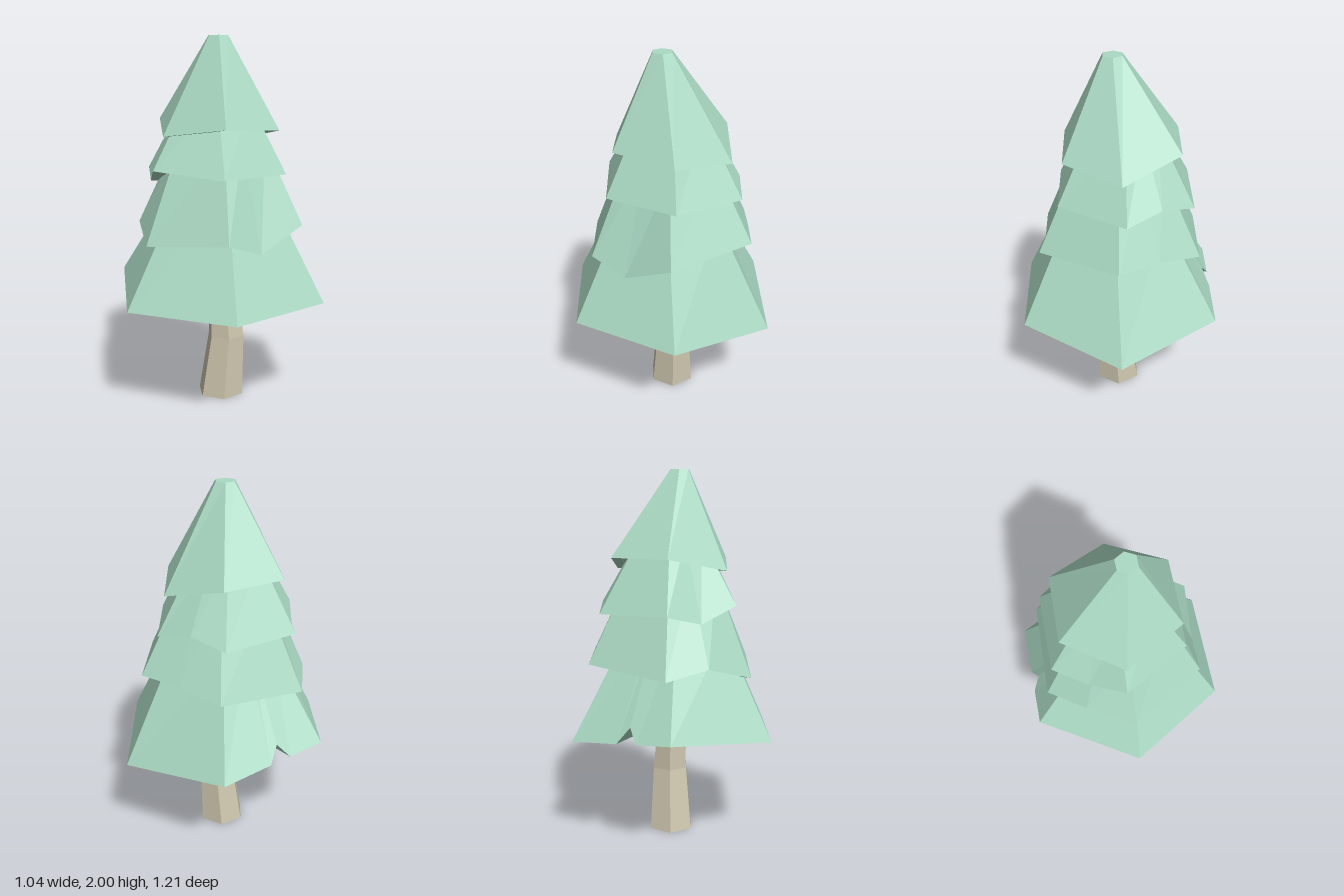
import * as THREE from 'three';

const foliage = new THREE.MeshStandardMaterial({ color: 0xabdac4, flatShading: true });
const bark = new THREE.MeshStandardMaterial({ color: 0xcfc8b0, flatShading: true });

// Skin a stack of rings (same point count, counter-clockwise from above) with flat faces.
function loft(rings, material, name) {
  const pos = [];
  const tri = (a, b, c) => {
    if (new THREE.Triangle(a, b, c).getArea() < 1e-7) return;
    for (const p of [a, b, c]) pos.push(p.x, p.y, p.z);
  };
  for (let r = 0; r + 1 < rings.length; r++) {
    const a = rings[r], b = rings[r + 1], n = a.length;
    for (let i = 0; i < n; i++) {
      const j = (i + 1) % n;
      tri(a[i], a[j], b[j]);
      tri(a[i], b[j], b[i]);
    }
  }
  const geo = new THREE.BufferGeometry();
  geo.setAttribute('position', new THREE.Float32BufferAttribute(pos, 3));
  geo.computeVertexNormals();
  const mesh = new THREE.Mesh(geo, material);
  mesh.name = name;
  return mesh;
}

// Point on a hexagon (corners at +z and -z) in the direction of angle a.
function hexPoint(a, radius, y, [cx, cz]) {
  const side = Math.PI / 3;
  const local = ((a % side) + side) % side - side / 2;
  const r = radius * Math.cos(side / 2) / Math.cos(local);
  return new THREE.Vector3(cx + r * Math.sin(a), y, cz + r * Math.cos(a));
}

// One skirt of branches: hollow underside, jagged rim, sloping hexagonal sides, flat top.
function tier({ name, rim, inner, topR, topY, center }) {
  const outer = rim.map(p => new THREE.Vector3(...p));
  const angles = outer.map(p => Math.atan2(p.x, p.z));
  const capY = Math.max(...outer.map(p => p.y)) + 0.02;
  const ring = (radius, y, c) => angles.map((a, i) => hexPoint(a, radius, y ?? outer[i].y, c));
  return loft([
    ring(0, capY, [0, 0]),
    ring(inner, capY, [0, 0]),
    ring(inner, null, [0, 0]),
    outer,
    ring(topR, topY, center),
    ring(0, topY, center),
  ], foliage, name);
}

// Rim points run from the front corner round by the +x side.
const tiers = [
  {
    name: 'bottomBranches', inner: 0.34, topR: 0.3, topY: 1.15, center: [0.02, 0.01],
    rim: [[0, 0.6, 0.605], [0.52, 0.6, 0.3], [0.52, 0.6, -0.3], [0, 0.535, -0.605], [-0.525, 0.6, -0.3],
      [-0.525, 0.635, -0.02], [-0.485, 0.72, 0.04], [-0.525, 0.65, 0.1], [-0.525, 0.675, 0.3]],
  },
  {
    name: 'lowerMiddleBranches', inner: 0.28, topR: 0.265, topY: 1.45, center: [0, 0],
    rim: [[0, 0.93, 0.48], [0.4, 0.97, 0.255], [0.41, 0.9, 0.05], [0.42, 1.02, -0.225], [0.01, 1.045, -0.485],
      [-0.2, 1.04, -0.375], [-0.42, 1, -0.26], [-0.44, 0.965, 0.22], [-0.25, 1.01, 0.36]],
  },
  {
    name: 'upperMiddleBranches', inner: 0.22, topR: 0.2, topY: 1.65, center: [-0.02, 0.01],
    rim: [[-0.04, 1.31, 0.405], [0.31, 1.28, 0.21], [0.315, 1.28, -0.2], [-0.03, 1.265, -0.405],
      [-0.21, 1.31, -0.31], [-0.385, 1.265, -0.21], [-0.39, 1.28, 0.2], [-0.22, 1.23, 0.3]],
  },
  {
    name: 'topBranches', inner: 0.16, topR: 0.057, topY: 1.997, center: [0.027, 0.03],
    rim: [[-0.03, 1.485, 0.345], [0.28, 1.53, 0.18], [0.285, 1.51, -0.175], [-0.01, 1.465, -0.35],
      [-0.315, 1.55, -0.18], [-0.325, 1.555, 0.165]],
  },
];

export function createModel() {
  const tree = new THREE.Group();
  tree.name = 'tree';
  for (const t of tiers) tree.add(tier(t));

  // Slightly bent six-sided trunk: [radius, y, centre x, centre z]
  const trunkRings = [
    [0, 0, 0, -0.01], [0.131, 0, 0, -0.01], [0.105, 0.35, 0.025, -0.03],
    [0.085, 0.63, 0.012, -0.015], [0.08, 0.78, 0.005, -0.005], [0, 0.78, 0.005, -0.005],
  ].map(([r, y, cx, cz]) =>
    Array.from({ length: 6 }, (_, i) => hexPoint(i * Math.PI / 3, r, y, [cx, cz])));
  tree.add(loft(trunkRings, bark, 'trunk'));
  return tree;
}
